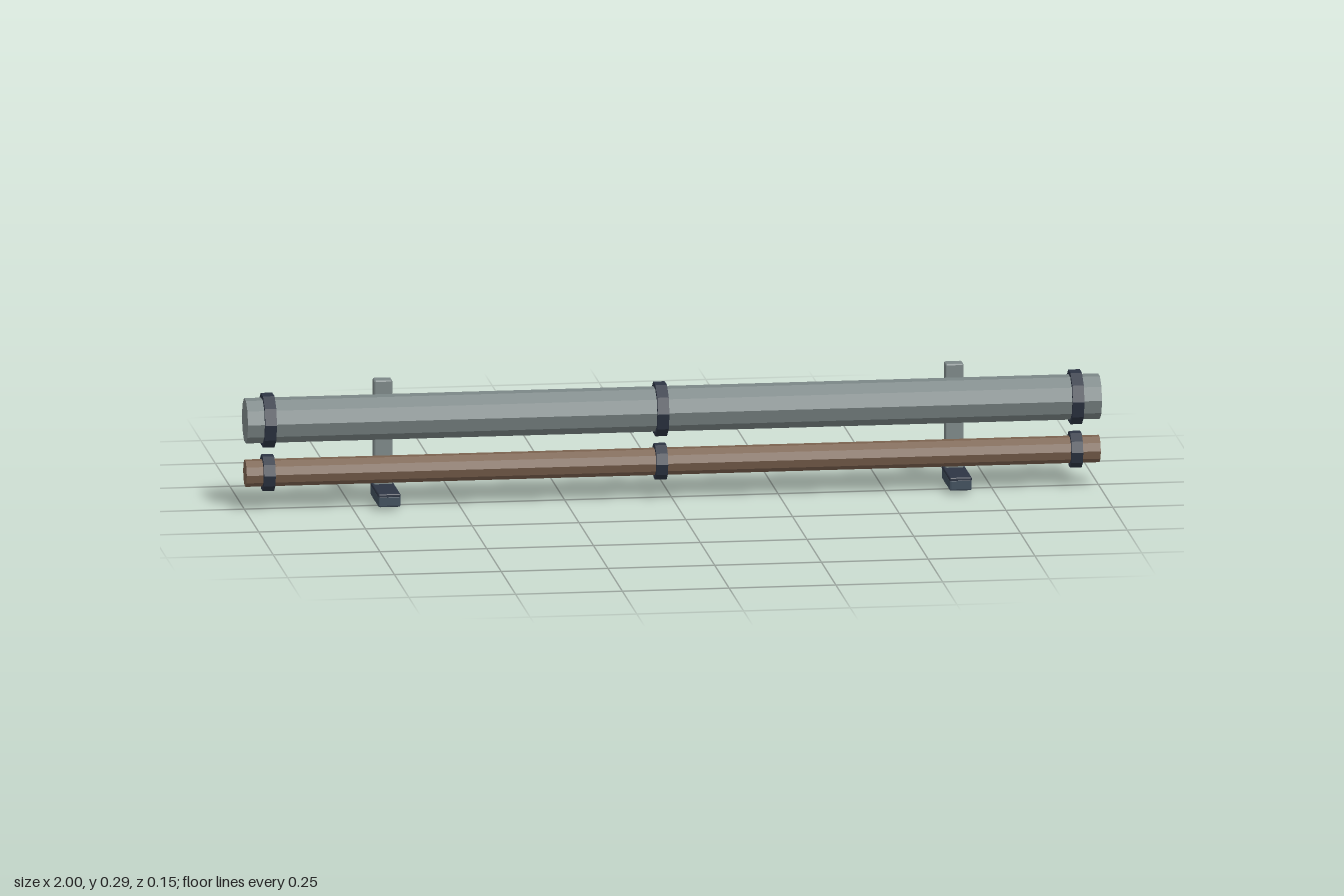
import * as THREE from 'three';
import { RoundedBoxGeometry } from 'three/addons/geometries/RoundedBoxGeometry.js';

function material(name, color) {
  const m = new THREE.MeshStandardMaterial({ color, flatShading: true });
  m.name = name;
  return m;
}

export function createModel() {
  const model = new THREE.Group();
  model.name = 'pipeRack';

  const steel = material('grey steel', 0x7b8686);
  const copper = material('brown copper', 0x7a614e);
  const clampDark = material('dark clamp', 0x2d3544);
  const footBlue = material('slate foot', 0x3f4d5b);

  function add(parent, name, geometry, mat, x, y, z) {
    const mesh = new THREE.Mesh(geometry, mat);
    mesh.name = name;
    mesh.position.set(x, y, z);
    parent.add(mesh);
    return mesh;
  }

  // Ten-sided bar lying along x
  const bar = (radius, length) =>
    new THREE.CylinderGeometry(radius, radius, length, 10).rotateZ(Math.PI / 2);

  // Box with small chamfers, given by its extents in y and z
  function block(parent, name, mat, width, y0, y1, z0, z1, bevel) {
    const geometry = new RoundedBoxGeometry(width, y1 - y0, z1 - z0, 1, bevel);
    return add(parent, name, geometry, mat, 0, (y0 + y1) / 2, (z0 + z1) / 2);
  }

  // Two pipes, each with three collars
  const pipes = [
    { name: 'upperPipe', mat: steel, y: 0.2125, radius: 0.053, collar: 0.064 },
    { name: 'lowerPipe', mat: copper, y: 0.088, radius: 0.032, collar: 0.043 },
  ];
  for (const p of pipes) {
    add(model, p.name, bar(p.radius, 2), p.mat, 0, p.y, 0.012);
    for (const x of [-0.947, -0.028, 0.944]) {
      add(model, p.name + 'Collar', bar(p.collar, 0.027), clampDark, x, p.y, 0.012);
    }
  }

  // Wall brackets: upright post with a back strip, and a forward foot with a cap
  for (const side of [-1, 1]) {
    const bracket = new THREE.Group();
    bracket.name = side > 0 ? 'leftBracket' : 'rightBracket';
    bracket.position.x = side * 0.669;
    block(bracket, 'post', steel, 0.043, 0, 0.288, -0.066, -0.04, 0.004);
    block(bracket, 'postBackStrip', steel, 0.043, 0, 0.288, -0.073, -0.061, 0.004);
    block(bracket, 'foot', footBlue, 0.052, 0.009, 0.036, -0.074, 0.067, 0.004);
    block(bracket, 'footCap', clampDark, 0.052, 0.031, 0.041, -0.075, 0.067, 0.003);
    model.add(bracket);
  }

  return model;
}
